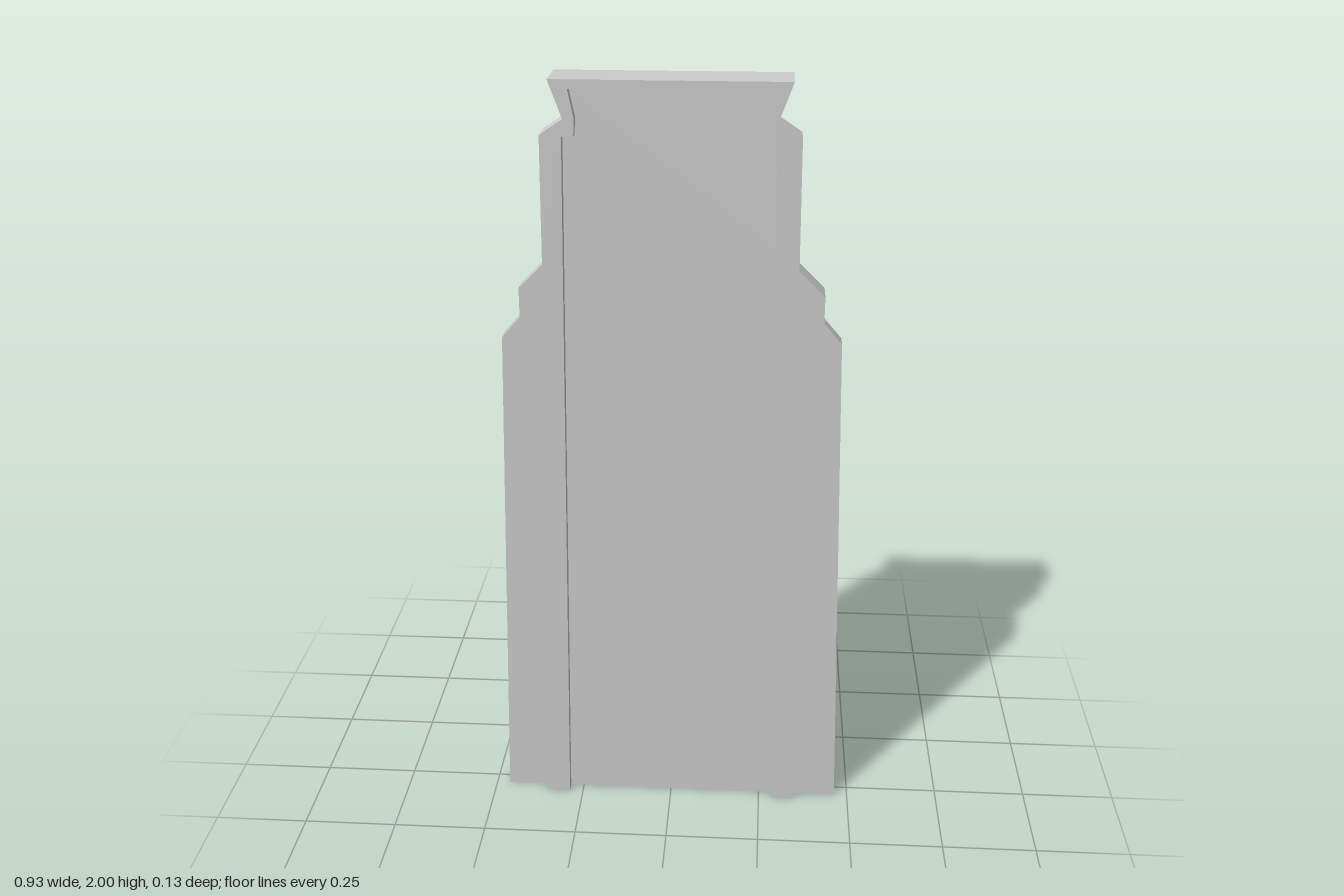
import * as THREE from 'three';

const material = new THREE.MeshStandardMaterial({ color: 0xcccccc, flatShading: true });

// Extrude an outline in the x-y plane between two depths
function slab(name, points, zBack, zFront) {
  const shape = new THREE.Shape(points.map(([x, y]) => new THREE.Vector2(x, y)));
  const geometry = new THREE.ExtrudeGeometry(shape, { depth: zFront - zBack, bevelEnabled: false });
  geometry.translate(0, 0, zBack);
  const mesh = new THREE.Mesh(geometry, material);
  mesh.name = name;
  return mesh;
}

// Close a right-hand profile (bottom to top) with its mirror image
const mirrored = (points) => points.map(([x, y]) => [-x, y]).reverse();
const symmetric = (points) => [...points, ...mirrored(points)];

export function createModel() {
  const group = new THREE.Group();
  group.name = 'steppedPanel';
  const zBack = -0.065, zWingBack = -0.013, zWingFront = 0.035, zFront = 0.062;

  // Flared top and narrow neck shared by every layer
  const head = [[0.31, 1.87], [0.253, 1.908], [0.287, 2]];
  const shoulder = [[0.378, 1.485], [0.313, 1.55]];

  // Tapered slab behind the wings
  group.add(slab('backPanel', symmetric([[0.287, 0], [0.253, 1.908], [0.287, 2]]), zBack, zWingBack));

  // Middle layer with the stepped side wings
  group.add(slab('wingPanel', symmetric([
    [0.464, 0], [0.425, 1.355], [0.378, 1.41], ...shoulder, ...head,
  ]), zWingBack, zWingFront));

  // Raised border, open at the bottom; only its left side carries the shoulder step
  const outerLeft = [[0.347, 0], [0.314, 1.475], [0.378, 1.41], ...shoulder, ...head];
  const outerRight = mirrored([[0.35, 0], [0.313, 1.55], ...head]);
  const inner = [[0.287, 0], [0.257, 1.867], [0.228, 1.867], [0.226, 1.91], [0.24, 1.978]];
  const innerRight = inner.map(([x, y]) => [-x, y]);
  group.add(slab('frontBorder', [
    ...outerLeft, ...outerRight, ...innerRight, ...[...inner].reverse(),
  ], zWingFront, zFront));

  return group;
}
